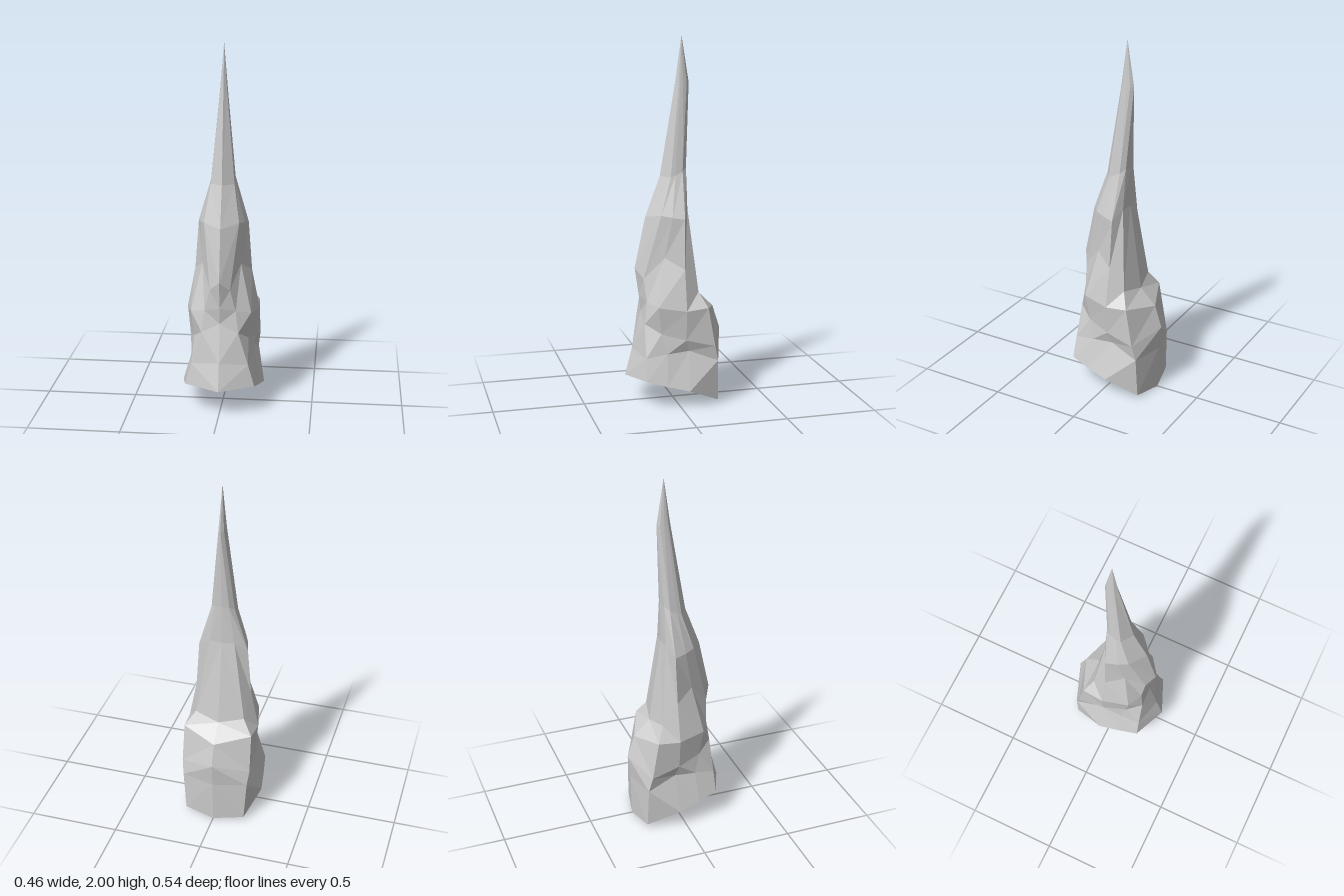
import * as THREE from 'three';

// Half cross-sections, bottom to top; each runs front centre -> left side -> back centre.
const halfRings = [
  // slanted open rim
  [[0, .15, .27], [.19, .16, .19], [.21, .13, .08], [.228, .1, -.04], [.17, .02, -.215], [0, 0, -.25]],
  // recess under the side crease
  [[0, .3, .23], [.155, .28, .186], [.168, .3, .07], [.165, .31, -.05], [.185, .25, -.21], [0, .25, -.257]],
  // crease lip
  [[0, .51, .18], [.1, .46, .18], [.15, .41, .1], [.185, .375, -.03], [.195, .335, -.19], [0, .385, -.27]],
  // shoulder
  [[0, .6, .19], [.085, .58, .165], [.165, .56, .12], [.2, .54, -.03], [.192, .55, -.152], [0, .51, -.23]],
  // brow and side bumps
  [[0, .75, .212], [.055, .7, .175], [.105, .82, .07], [.157, .76, -.03], [.138, .63, -.11], [0, .6, -.14]],
  // upper body
  [[0, 1.03, .152], [.095, 1.05, .085], [.12, 1.04, .03], [.137, 1.03, -.035], [.07, 1.08, -.065], [0, 1.08, -.072]],
  // base of the spike
  [[0, 1.25, .07], [.064, 1.25, .025], [.066, 1.26, 0], [.064, 1.28, -.04], [.04, 1.3, -.065], [0, 1.3, -.072]],
  // near the point
  [[0, 1.75, -.015], [.018, 1.75, -.03], [.02, 1.75, -.04], [.02, 1.75, -.055], [.015, 1.75, -.075], [0, 1.75, -.09]],
];
const tip = [0, 2, -.05];

// Close a half section by mirroring it across x = 0.
function mirrorRing(half) {
  const other = half.slice(1, -1).reverse().map(([x, y, z]) => [-x, y, z]);
  return [...half, ...other];
}

// Skin the rings with flat triangles and finish in a point.
function loftToTip(rings, point) {
  const n = rings[0].length;
  const pos = [];
  const tri = (a, b, c) => pos.push(...a, ...b, ...c);
  for (let i = 0; i < rings.length; i++) {
    for (let j = 0; j < n; j++) {
      const k = (j + 1) % n;
      const a = rings[i][j], b = rings[i][k];
      if (i === rings.length - 1) {
        tri(a, b, point);
        continue;
      }
      const c = rings[i + 1][k], d = rings[i + 1][j];
      // diagonals mirror between the two sides
      if (j < n / 2) {
        tri(a, b, c);
        tri(a, c, d);
      } else {
        tri(a, b, d);
        tri(b, c, d);
      }
    }
  }
  const geometry = new THREE.BufferGeometry();
  geometry.setAttribute('position', new THREE.Float32BufferAttribute(pos, 3));
  geometry.computeVertexNormals();
  return geometry;
}

export function createModel() {
  const group = new THREE.Group();
  group.name = 'facetedSpike';

  // open-bottomed hollow shell
  const material = new THREE.MeshStandardMaterial({
    color: 0xcccccc, flatShading: true, side: THREE.DoubleSide,
  });
  const shell = new THREE.Mesh(loftToTip(halfRings.map(mirrorRing), tip), material);
  shell.name = 'spikeShell';
  group.add(shell);
  return group;
}
